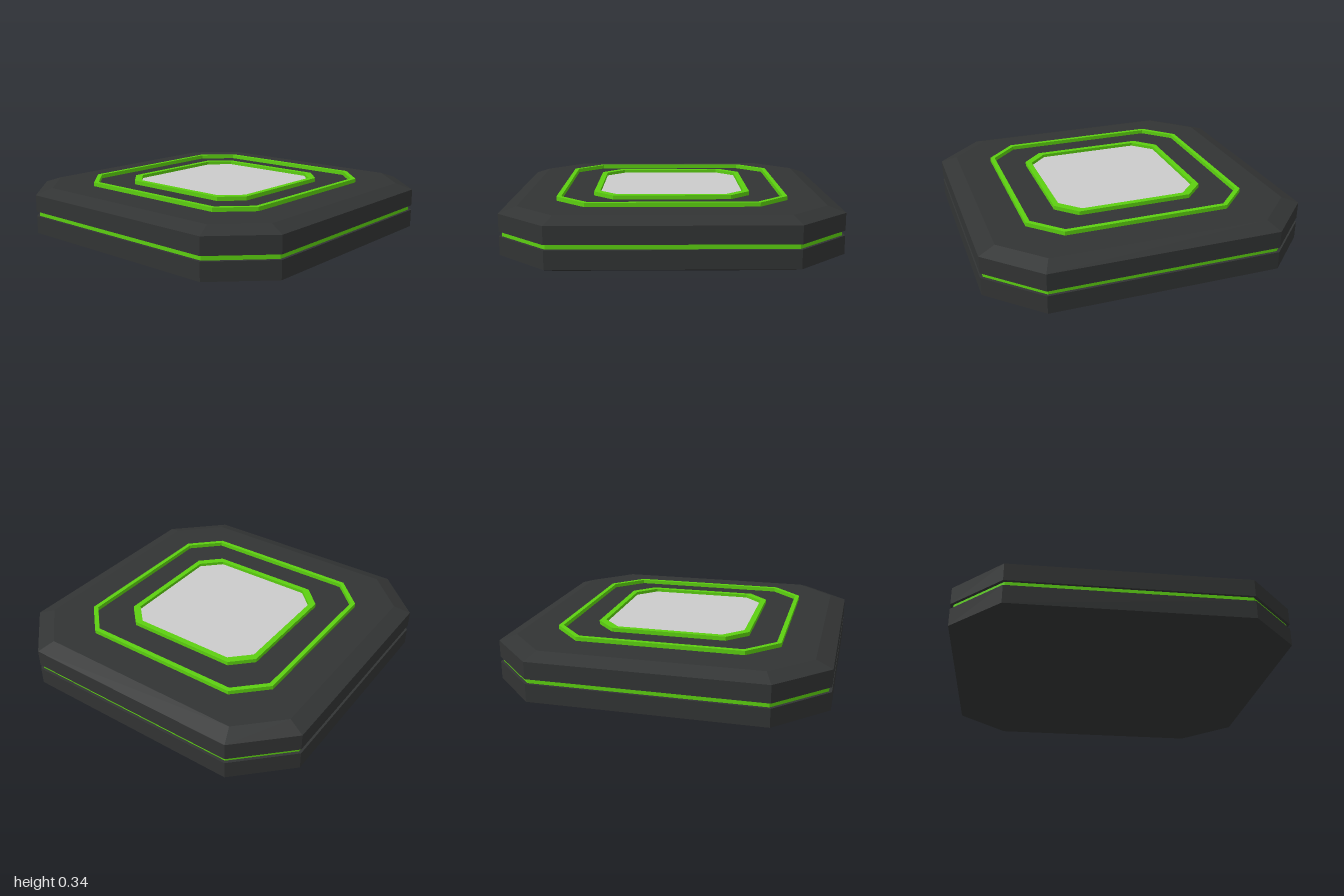
import * as THREE from 'three';

const dark = new THREE.MeshStandardMaterial({ color: 0x323434, flatShading: true });
const green = new THREE.MeshStandardMaterial({ color: 0x5cd010, flatShading: true });
const grey = new THREE.MeshStandardMaterial({ color: 0xcccccc, flatShading: true });

// Square with cut corners: half = half width, flat = half length of a straight side
function octagon(half, flat) {
  return [[half, -flat], [half, flat], [flat, half], [-flat, half],
    [-half, flat], [-half, -flat], [-flat, -half], [flat, -half]];
}

// Solid stacked from octagonal sections [y, half, flat], bottom to top
function stack(name, sections, material) {
  const rows = sections.map(([y, h, f]) => octagon(h, f).map(([x, z]) => [x, y, z]));
  const pos = [];
  const tri = (...corners) => corners.forEach((c) => pos.push(...c));
  for (let r = 0; r < rows.length - 1; r++) {
    const lo = rows[r], hi = rows[r + 1];
    for (let i = 0; i < 8; i++) {
      const j = (i + 1) % 8;
      tri(lo[i], hi[i], lo[j]);
      tri(lo[j], hi[i], hi[j]);
    }
  }
  const bottom = rows[0], top = rows[rows.length - 1];
  for (let i = 1; i < 7; i++) {
    tri(bottom[0], bottom[i], bottom[i + 1]);
    tri(top[0], top[i + 1], top[i]);
  }
  const geometry = new THREE.BufferGeometry();
  geometry.setAttribute('position', new THREE.Float32BufferAttribute(pos, 3));
  geometry.computeVertexNormals();
  const mesh = new THREE.Mesh(geometry, material);
  mesh.name = name;
  return mesh;
}

// Raised octagonal frame between heights y0 and y1
function frame(name, outer, inner, y0, y1) {
  const toPoints = (o) => octagon(...o).map(([x, y]) => new THREE.Vector2(x, y));
  const shape = new THREE.Shape(toPoints(outer));
  shape.holes.push(new THREE.Path(toPoints(inner)));
  const geometry = new THREE.ExtrudeGeometry(shape, { depth: y1 - y0, bevelEnabled: false });
  geometry.rotateX(-Math.PI / 2).translate(0, y0, 0);
  const mesh = new THREE.Mesh(geometry, green);
  mesh.name = name;
  return mesh;
}

export function createModel() {
  const model = new THREE.Group();
  model.name = 'platform';
  model.add(
    // Two dark halves with chamfered outer faces, and the glowing seam between them
    stack('lowerBody', [[0, 0.9, 0.66], [0.035, 1, 0.7], [0.145, 1, 0.7]], dark),
    stack('seamStrip', [[0.145, 0.983, 0.692], [0.175, 0.983, 0.692]], green),
    stack('upperBody', [[0.175, 1, 0.7], [0.28, 1, 0.7], [0.315, 0.9, 0.66]], dark),
    // Raised trim on the top, with the pale panel set inside the inner frame
    frame('outerTrim', [0.69, 0.507], [0.662, 0.495], 0.31, 0.34),
    frame('innerTrim', [0.478, 0.355], [0.443, 0.327], 0.31, 0.34),
    stack('centrePanel', [[0.31, 0.445, 0.328], [0.32, 0.445, 0.328]], grey),
  );
  return model;
}
